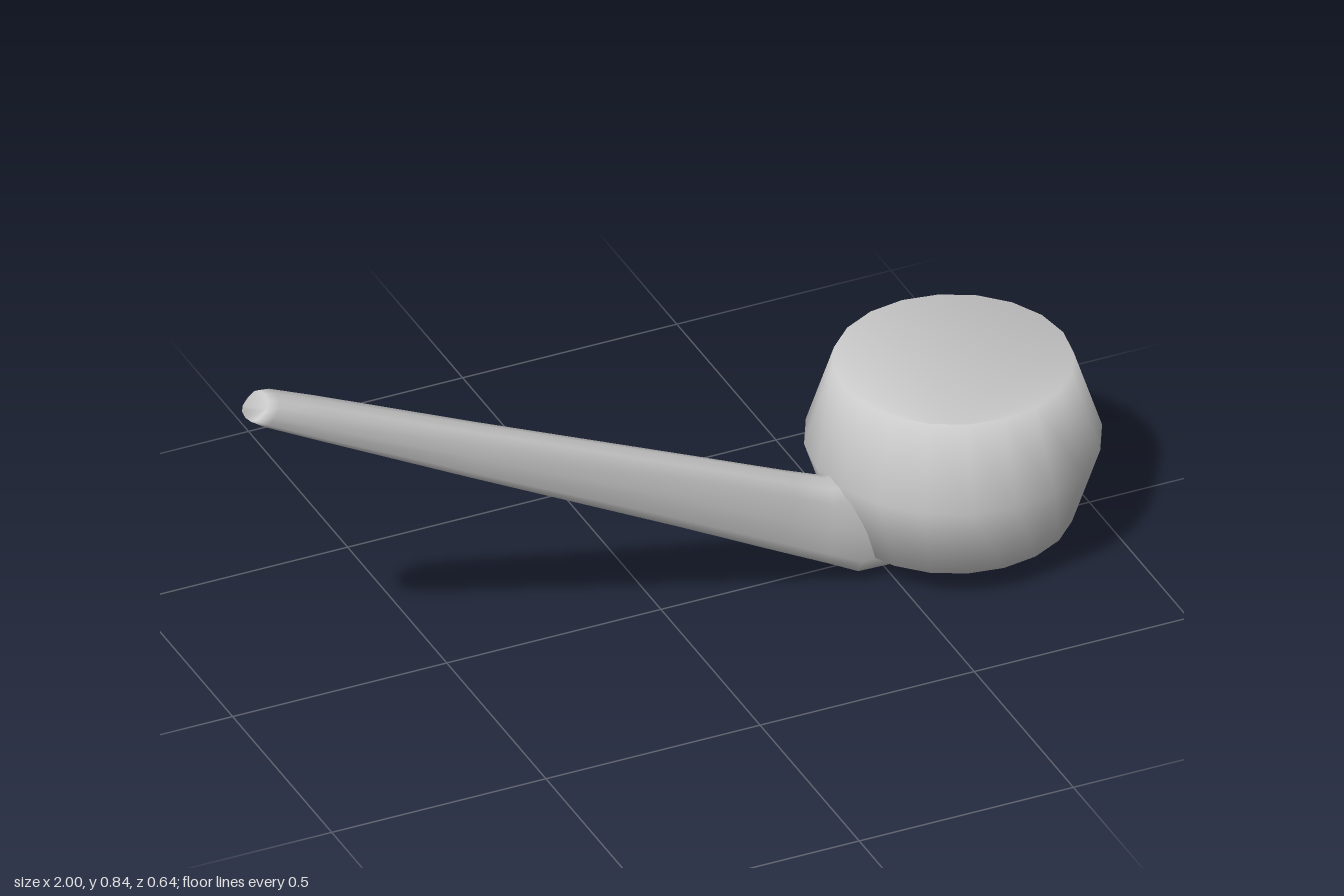
import * as THREE from 'three';
import { mergeVertices } from 'three/addons/utils/BufferGeometryUtils.js';

const material = new THREE.MeshStandardMaterial({ color: 0xcccccc, side: THREE.DoubleSide });

// Weld a geometry and give it smooth, area-weighted normals
function smooth(geometry) {
  geometry.deleteAttribute('normal');
  geometry.deleteAttribute('uv');
  const welded = mergeVertices(geometry, 1e-4);
  welded.computeVertexNormals();
  return welded;
}

function addPart(group, name, geometry) {
  const mesh = new THREE.Mesh(geometry, material);
  mesh.name = name;
  group.add(mesh);
  return mesh;
}

// Faceted bowl: outside from the base up to the rim, then down into the hollow
function bowlGeometry() {
  const profile = [
    [0, 0], [0.1, 0.01], [0.257, 0.07], [0.318, 0.257], [0.257, 0.445], [0, 0.265],
  ].map(([r, y]) => new THREE.Vector2(r, y));
  return smooth(new THREE.LatheGeometry(profile, 20));
}

// Stem: rounded-box sections lofted from the mouthpiece to under the bowl
function stemGeometry() {
  // bottom x, bottom y, top x, top y, z from, z to
  const sections = [
    [-1.0, 0.79, -0.955, 0.838, 0.028, 0.1],
    [-0.97, 0.77, -0.93, 0.832, 0.02, 0.106],
    [-0.86, 0.71, -0.82, 0.785, 0.018, 0.107],
    [-0.5, 0.515, -0.45, 0.62, 0.017, 0.104],
    [0.0, 0.25, 0.06, 0.397, 0.012, 0.104],
    [0.22, 0.13, 0.28, 0.298, 0.004, 0.104],
    [0.35, 0.06, 0.36, 0.262, -0.005, 0.104],
    [0.42, 0.022, 0.42, 0.262, -0.025, 0.115],
    [0.62, 0.011, 0.6, 0.2, -0.02, 0.1],
  ];
  const sides = 12;
  const round = (v) => Math.sign(v) * Math.pow(Math.abs(v), 0.72);
  const positions = [];
  const index = [];
  sections.forEach(([bx, by, tx, ty, z0, z1], i) => {
    for (let k = 0; k < sides; k++) {
      const a = (k / sides) * Math.PI * 2;
      const up = 0.5 + 0.5 * round(Math.cos(a));
      const across = 0.5 + 0.5 * round(Math.sin(a));
      positions.push(bx + (tx - bx) * up, by + (ty - by) * up, z0 + (z1 - z0) * across);
      if (i === 0) continue;
      const n = (k + 1) % sides;
      const p = (i - 1) * sides;
      const q = i * sides;
      index.push(p + k, p + n, q + k, p + n, q + n, q + k);
    }
  });
  // Slightly hollowed mouthpiece end
  const centre = positions.length / 3;
  positions.push(-0.95, 0.797, 0.064);
  for (let k = 0; k < sides; k++) index.push(centre, (k + 1) % sides, k);

  const geometry = new THREE.BufferGeometry();
  geometry.setAttribute('position', new THREE.Float32BufferAttribute(positions, 3));
  geometry.setIndex(index);
  geometry.computeVertexNormals();
  return geometry;
}

export function createModel() {
  const group = new THREE.Group();
  group.name = 'smokingPipe';
  addPart(group, 'bowl', bowlGeometry()).position.x = 0.682;
  addPart(group, 'stem', stemGeometry());
  return group;
}
